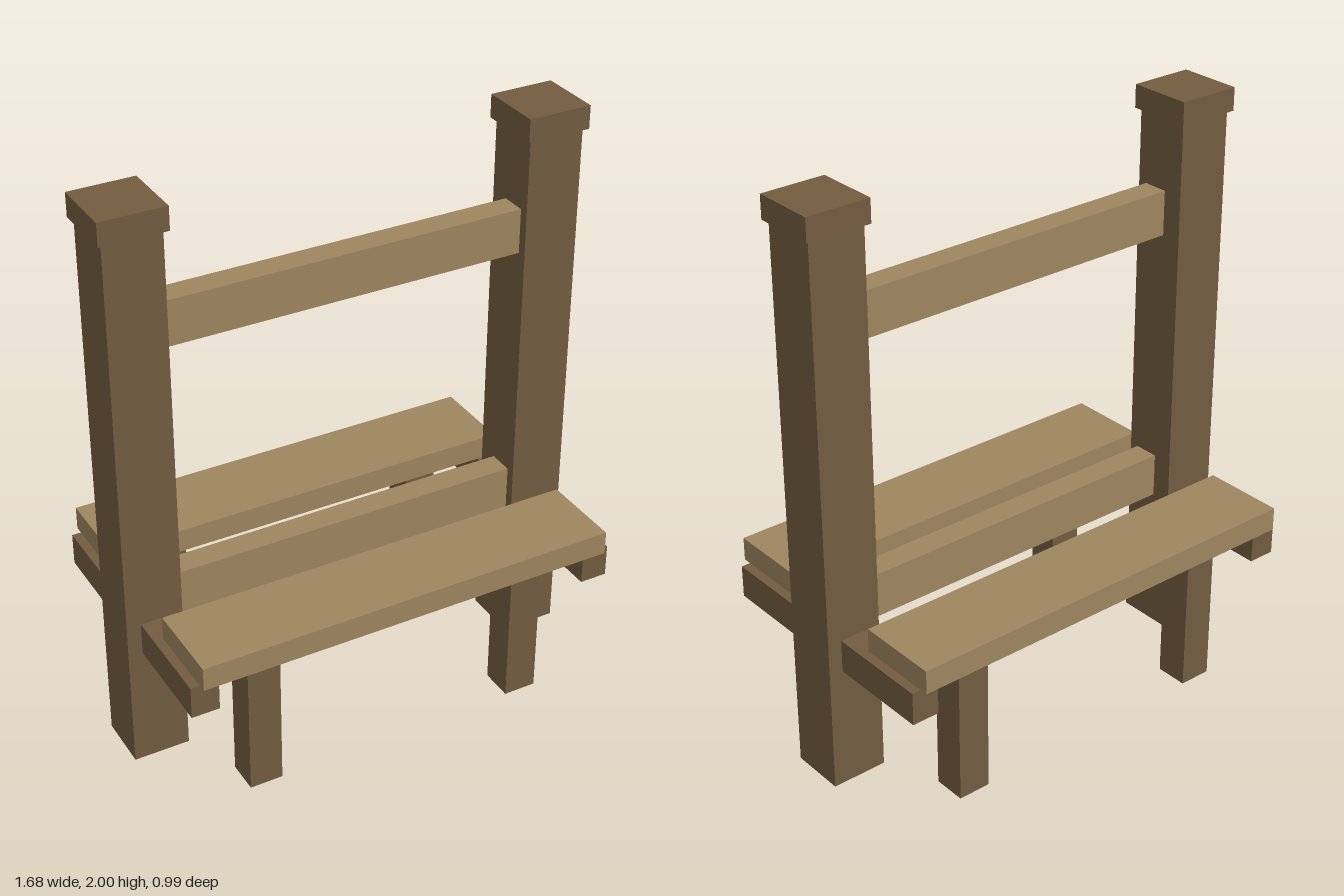
import * as THREE from 'three';

export function createModel() {
  const model = new THREE.Group();
  model.name = 'woodenStile';

  const darkWood = new THREE.MeshStandardMaterial({ color: 0x735c40 });
  darkWood.name = 'dark wood';
  const lightWood = new THREE.MeshStandardMaterial({ color: 0x9e855f });
  lightWood.name = 'light wood';

  // A squared timber given by its size and centre
  function timber(name, material, [w, h, d], [x, y, z]) {
    const mesh = new THREE.Mesh(new THREE.BoxGeometry(w, h, d), material);
    mesh.name = name;
    mesh.position.set(x, y, z);
    model.add(mesh);
  }

  for (const side of [-1, 1]) {
    const label = side > 0 ? 'left' : 'right';

    // Tall post with its cap, and the bearer that runs through it
    timber(label + 'Post', darkWood, [0.196, 1.92, 0.196], [side * 0.727, 0.96, 0]);
    timber(label + 'PostCap', darkWood, [0.225, 0.08, 0.225], [side * 0.727, 1.96, 0]);
    timber(label + 'Bearer', darkWood, [0.097, 0.115, 0.93], [side * 0.727, 0.49, 0]);

    // Short legs under the front and back steps
    for (const end of [-1, 1]) {
      const place = end > 0 ? 'Front' : 'Back';
      timber(label + place + 'Leg', darkWood, [0.116, 0.548, 0.116], [side * 0.493, 0.274, end * 0.347]);
    }
  }

  // Step planks in front of and behind the posts
  timber('frontStep', lightWood, [1.488, 0.083, 0.294], [0, 0.59, 0.347]);
  timber('backStep', lightWood, [1.488, 0.083, 0.294], [0, 0.59, -0.347]);

  // Rails between the posts, set slightly forward
  timber('upperRail', lightWood, [1.258, 0.157, 0.09], [0, 1.59, 0.02]);
  timber('lowerRail', lightWood, [1.258, 0.157, 0.09], [0, 0.597, 0.02]);

  return model;
}
